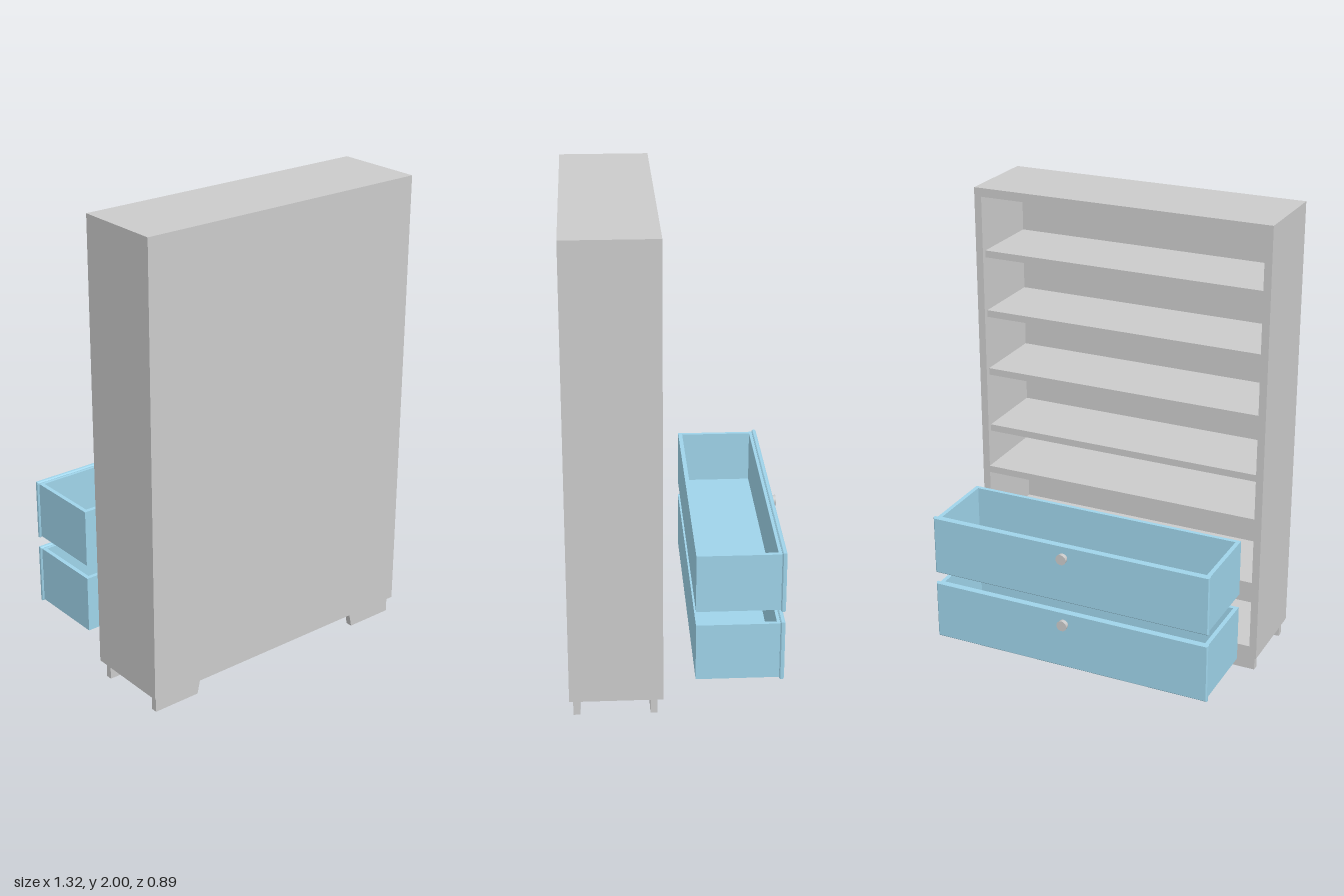
import * as THREE from 'three';

const grey = new THREE.MeshStandardMaterial({ color: 0xcccccc });
const blue = new THREE.MeshStandardMaterial({ color: 0x9fd4ea });

function add(parent, name, geometry, material) {
  const mesh = new THREE.Mesh(geometry, material);
  mesh.name = name;
  parent.add(mesh);
  return mesh;
}

// Box given by its minimum and maximum on each axis
function slab(parent, name, [x0, x1], [y0, y1], [z0, z1], material = grey) {
  const mesh = add(parent, name, new THREE.BoxGeometry(x1 - x0, y1 - y0, z1 - z0), material);
  mesh.position.set((x0 + x1) / 2, (y0 + y1) / 2, (z0 + z1) / 2);
  return mesh;
}

// Case, open towards -z
const W = 0.658, WALL = 0.032, BASE = 0.07, TOP = 2, OPEN = 0.066, BACK = 0.447;

function createCase() {
  const body = new THREE.Group();
  body.name = 'case';
  const inner = [-W + WALL, W - WALL];
  const depth = [OPEN, BACK - 0.02];
  slab(body, 'backPanel', [-W, W], [BASE, TOP], [BACK - 0.02, BACK]);
  slab(body, 'rightSide', [-W, -W + WALL], [BASE, TOP], depth);
  slab(body, 'leftSide', [W - WALL, W], [BASE, TOP], depth);
  slab(body, 'topPanel', inner, [TOP - 0.037, TOP], depth);
  slab(body, 'bottomPanel', inner, [BASE, 0.125], depth);
  slab(body, 'drawerDivider', inner, [0.395, 0.435], depth);
  slab(body, 'shelfDivider', inner, [0.705, 0.735], depth);
  // Shelves set slightly back from the opening
  for (let i = 0; i < 4; i++) {
    const y = 0.927 + i * 0.266;
    slab(body, 'shelf', inner, [y - 0.03, y], [OPEN + 0.022, BACK - 0.02]);
  }
  return body;
}

// Foot plates with a slanted inner end
function createFeet() {
  const feet = new THREE.Group();
  feet.name = 'feet';
  for (const z of [0.09, 0.403]) {
    for (const side of [-1, 1]) {
      const shape = new THREE.Shape([[0.43, 0], [0.643, 0], [0.643, BASE], [0.415, BASE]]
        .map(([x, y]) => new THREE.Vector2(side * x, y)));
      const geometry = new THREE.ExtrudeGeometry(shape, { depth: 0.028, bevelEnabled: false });
      add(feet, 'foot', geometry, grey).position.z = z;
    }
  }
  return feet;
}

// Pulled-out drawer: open box, bevelled face and a round knob
function createDrawer(y) {
  const drawer = new THREE.Group();
  drawer.name = 'drawer';
  const X = 0.62, T = 0.018, z0 = -0.412, z1 = -0.067, h = [0.007, 0.255];
  slab(drawer, 'drawerBottom', [-X + T, X - T], [0.007, 0.025], [z0 + T, z1 - T], blue);
  slab(drawer, 'drawerInnerFront', [-X, X], h, [z0, z0 + T], blue);
  slab(drawer, 'drawerBack', [-X, X], h, [z1 - T, z1], blue);
  for (const s of [-1, 1]) {
    const x = s * (X - T / 2);
    slab(drawer, 'drawerSide', [x - T / 2, x + T / 2], h, [z0 + T, z1 - T], blue);
  }

  const b = 0.005, fx = 0.627 - b;
  const face = new THREE.Shape([[-fx, b], [fx, b], [fx, 0.262 - b], [-fx, 0.262 - b]]
    .map(([px, py]) => new THREE.Vector2(px, py)));
  const geometry = new THREE.ExtrudeGeometry(face, {
    depth: 0.01, bevelThickness: b, bevelSize: b, bevelSegments: 1
  });
  add(drawer, 'drawerFace', geometry, blue).position.z = -0.427 + b;

  const knob = add(drawer, 'knob', new THREE.CylinderGeometry(0.018, 0.023, 0.022, 24), grey);
  knob.rotation.x = Math.PI / 2;
  knob.rotation.z = Math.PI;
  knob.scale.set(1, -1, 1);
  knob.geometry = new THREE.CylinderGeometry(0.023, 0.021, 0.022, 24);
  knob.rotation.set(-Math.PI / 2, 0, 0);
  knob.scale.set(1, 1, 1);
  knob.position.set(0.018, 0.206, -0.436);
  drawer.position.y = y;
  return drawer;
}

export function createModel() {
  const model = new THREE.Group();
  model.name = 'drawerBookcase';
  model.add(createCase(), createFeet(), createDrawer(0.13), createDrawer(0.44));
  return model;
}
